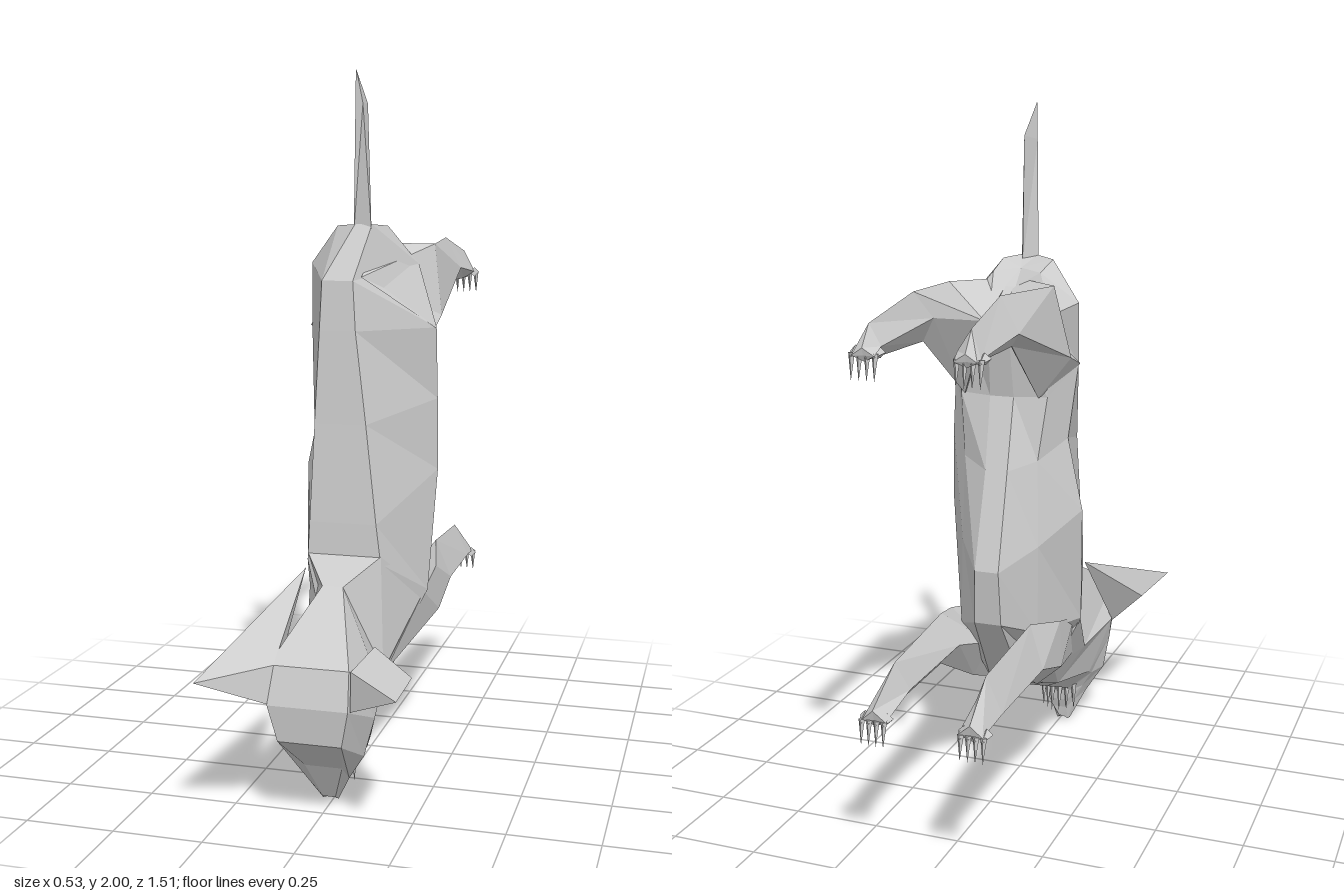
import * as THREE from 'three';
import { ConvexGeometry } from 'three/addons/geometries/ConvexGeometry.js';

const fur = new THREE.MeshStandardMaterial({ color: 0xcccccc });
fur.name = 'paleGrey';

function addMesh(parent, name, geometry) {
  const mesh = new THREE.Mesh(geometry, fur);
  mesh.name = name;
  parent.add(mesh);
  return mesh;
}

// Faceted solid through rings of [x, y, z] points, closed at both ends
function loft(rings) {
  const tris = [];
  const n = rings[0].length;
  for (let r = 0; r < rings.length - 1; r++) {
    for (let i = 0; i < n; i++) {
      const j = (i + 1) % n;
      const a = rings[r][i], b = rings[r][j], c = rings[r + 1][j], d = rings[r + 1][i];
      tris.push([a, b, c], [a, c, d]);
    }
  }
  const centre = (ring) => [0, 1, 2].map((k) => ring.reduce((s, p) => s + p[k], 0) / n);
  const first = rings[0], last = rings[rings.length - 1];
  const c0 = centre(first), c1 = centre(last);
  for (let i = 0; i < n; i++) {
    const j = (i + 1) % n;
    tris.push([c0, first[j], first[i]], [c1, last[i], last[j]]);
  }
  // Turn the faces outward if the enclosed volume is negative
  let volume = 0;
  const v = [new THREE.Vector3(), new THREE.Vector3(), new THREE.Vector3()];
  for (const t of tris) {
    t.forEach((p, k) => v[k].set(p[0], p[1], p[2]));
    volume += v[0].dot(v[1].cross(v[2]));
  }
  if (volume < 0) tris.forEach((t) => t.reverse());
  const geometry = new THREE.BufferGeometry();
  geometry.setAttribute('position', new THREE.Float32BufferAttribute(tris.flat(2), 3));
  geometry.computeVertexNormals();
  return geometry;
}

// Full cross-section from rows of [left x, right x, y, z], back to belly
const bothSides = (rows) => [...rows.map(([l, , y, z]) => [l, y, z]),
  ...rows.map(([, r, y, z]) => [r, y, z]).reverse()];

// Thin four-sided spike from one point to another
function spike(parent, name, from, to, radius) {
  const a = new THREE.Vector3(...from), b = new THREE.Vector3(...to);
  const geometry = new THREE.ConeGeometry(radius, a.distanceTo(b), 4).toNonIndexed();
  geometry.computeVertexNormals();
  const mesh = addMesh(parent, name, geometry);
  mesh.position.copy(a).add(b).multiplyScalar(0.5);
  mesh.quaternion.setFromUnitVectors(new THREE.Vector3(0, 1, 0), b.sub(a).normalize());
}

// Limb with hooked claws; both limbs of a pair lean slightly to the right
function limb(parent, name, rings, side, pawY) {
  const group = new THREE.Group();
  group.name = name;
  const place = ([x, y, z]) => [side * x + 0.01 * Math.min(0, z), y, z];
  addMesh(group, name + 'Shape', loft(rings.map((ring) => ring.map(place))));
  for (let i = 0; i < 4; i++) {
    const x = 0.107 + i * 0.021;
    spike(group, 'toe', place([x, pawY, -0.715]), place([x, pawY - 0.01, -0.757]), 0.016);
    spike(group, 'claw', place([x, pawY, -0.742]), place([x, pawY - 0.07, -0.75]), 0.009);
  }
  parent.add(group);
}

export function createModel() {
  const model = new THREE.Group();
  model.name = 'lowPolyAnimal';

  // Torso, from the rump down to the chest
  addMesh(model, 'torso', loft([
    [[0.02, -0.03, 1.575, 0.065], [0.05, -0.1, 1.57, 0], [0.05, -0.09, 1.54, -0.08], [0.01, -0.02, 1.5, -0.09]],
    [[-0.01, -0.1, 1.42, 0.16], [0.125, -0.2, 1.46, -0.07], [0.13, -0.14, 1.43, -0.13], [0.02, -0.04, 1.4, -0.2]],
    [[0, -0.105, 1.28, 0.17], [0.19, -0.185, 1.28, -0.02], [0.13, -0.13, 1.2, -0.13], [0.03, -0.04, 1.2, -0.16]],
    [[0.035, -0.115, 1.02, 0.188], [0.188, -0.165, 1.07, -0.05], [0.11, -0.11, 1.02, -0.155], [0.02, -0.045, 1, -0.225]],
    [[0.07, -0.125, 0.74, 0.208], [0.19, -0.21, 0.86, -0.05], [0.105, -0.125, 0.78, -0.19], [0.02, -0.05, 0.73, -0.31]],
    [[0.085, -0.13, 0.63, 0.213], [0.175, -0.19, 0.51, 0.01], [0.115, -0.12, 0.52, -0.18], [0.03, -0.05, 0.57, -0.29]],
    [[0.08, -0.09, 0.42, 0.2], [0.11, -0.12, 0.36, 0.12], [0.09, -0.09, 0.33, 0], [0.05, -0.05, 0.34, -0.12]],
  ].map(bothSides)));

  // Neck, skull and muzzle, ending at the nose
  addMesh(model, 'head', loft([
    [[0.085, -0.13, 0.65, 0.21], [0.165, -0.185, 0.505, 0.02], [0.1, -0.11, 0.34, 0], [0.04, -0.04, 0.33, -0.12]],
    [[0, -0.06, 0.58, 0.3], [0.1, -0.13, 0.33, 0.24], [0.065, -0.075, 0.235, 0.14], [0.03, -0.03, 0.21, 0.16]],
    [[0.1, -0.12, 0.44, 0.59], [0.15, -0.155, 0.35, 0.45], [0.1, -0.105, 0.19, 0.37], [0.04, -0.04, 0.13, 0.35]],
    [[0.105, -0.115, 0.34, 0.62], [0.14, -0.14, 0.28, 0.48], [0.1, -0.1, 0.17, 0.41], [0.035, -0.035, 0.115, 0.36]],
    [[0.085, -0.09, 0.24, 0.61], [0.11, -0.12, 0.17, 0.48], [0.07, -0.07, 0.12, 0.41], [0.03, -0.03, 0.08, 0.365]],
    [[0.05, -0.055, 0.13, 0.485], [0.06, -0.07, 0.09, 0.45], [0.04, -0.045, 0.07, 0.4], [0.02, -0.025, 0.05, 0.375]],
    [[0.01, -0.025, 0.015, 0.415], [0.015, -0.03, 0.005, 0.4], [0.01, -0.025, 0.004, 0.39], [0, -0.015, 0.015, 0.38]],
  ].map(bothSides)));

  // Tail: a slim blade with a swept tip
  addMesh(model, 'tail', loft([
    [[-0.035, 1.55, 0.06], [0.02, 1.55, 0.07], [0.005, 1.55, 0.035]],
    [[-0.024, 1.9, 0.08], [-0.005, 1.91, 0.07], [0, 1.91, 0.035]],
    [[-0.021, 2, 0.085], [-0.019, 2, 0.085], [-0.02, 2, 0.083]],
  ]));

  // Limb cross-sections: top ridge, outer crease, underside, inner crease
  const hind = [
    [[0.01, 1.43, 0.145], [0.188, 1.28, -0.015], [0.12, 1.21, -0.1], [0.01, 1.52, -0.05]],
    [[0.155, 1.515, -0.155], [0.188, 1.31, -0.1], [0.11, 1.2, -0.155], [0.02, 1.42, -0.23]],
    [[0.12, 1.525, -0.48], [0.17, 1.43, -0.48], [0.125, 1.385, -0.41], [0.09, 1.45, -0.42]],
    [[0.135, 1.475, -0.715], [0.168, 1.405, -0.735], [0.135, 1.385, -0.7], [0.1, 1.42, -0.72]],
    [[0.135, 1.42, -0.757], [0.165, 1.4, -0.755], [0.135, 1.385, -0.745], [0.103, 1.4, -0.755]],
  ];
  const front = [
    [[0.165, 0.505, 0.02], [0.105, 0.325, 0.235], [0.05, 0.255, 0.09], [0.03, 0.4, 0.05]],
    [[0.17, 0.545, -0.13], [0.178, 0.41, -0.14], [0.1, 0.34, -0.13], [0.04, 0.46, -0.15]],
    [[0.135, 0.585, -0.29], [0.18, 0.465, -0.31], [0.125, 0.445, -0.32], [0.075, 0.5, -0.3]],
    [[0.13, 0.56, -0.62], [0.175, 0.46, -0.62], [0.13, 0.44, -0.6], [0.095, 0.48, -0.6]],
    [[0.135, 0.475, -0.75], [0.168, 0.445, -0.745], [0.135, 0.425, -0.73], [0.1, 0.445, -0.745]],
  ];

  for (const side of [1, -1]) {
    const label = side > 0 ? 'left' : 'right';
    limb(model, label + 'HindLeg', hind, side, 1.405);
    limb(model, label + 'FrontLeg', front, side, 0.445);

    // Ear: a broad swept pyramid; the right one runs back into the neck
    const ear = [[0.105, 0.44, 0.59], [0.266, 0.43, 0.75], [0.11, 0.34, 0.615], [0.152, 0.34, 0.47],
      ...(side > 0 ? [[0.258, 0.425, 0.55], [0.11, 0.44, 0.37]]
        : [[0.243, 0.425, 0.5], [0.19, 0.43, 0.49], [0.13, 0.61, 0.23]])];
    addMesh(model, label + 'Ear', new ConvexGeometry(
      ear.map(([x, y, z]) => new THREE.Vector3(side * x, y, z))));

    // Teeth hanging below the jaw
    for (let i = 0; i < 3; i++) {
      const x = side * (0.012 + i * 0.02);
      spike(model, 'tooth', [x, 0.14, 0.345 + i * 0.012], [x, 0.05, 0.335 + i * 0.018], 0.01);
    }
  }
  return model;
}
